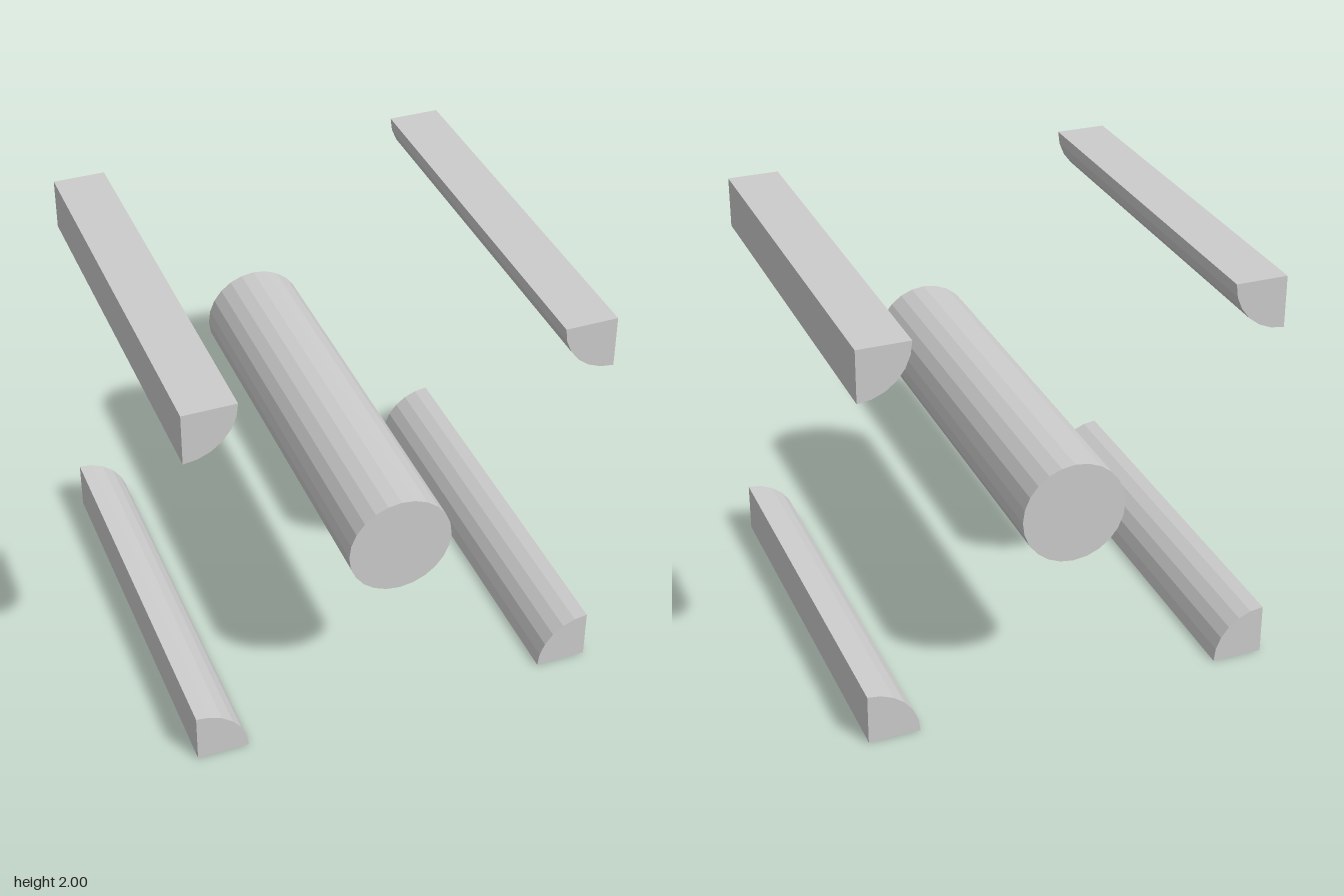
import * as THREE from 'three';

const RADIUS = 0.25, LENGTH = 2;

export function createModel() {
  const group = new THREE.Group();
  const material = new THREE.MeshStandardMaterial({ color: 0xcccccc, flatShading: true });

  // central round bar running front to back
  const bar = new THREE.Mesh(new THREE.CylinderGeometry(RADIUS, RADIUS, LENGTH, 24), material);
  bar.name = 'centreBar';
  bar.rotation.x = Math.PI / 2;
  bar.position.y = 1;
  group.add(bar);

  // quarter-round bar, its square corner on the local origin
  const sector = new THREE.Shape();
  sector.moveTo(0, 0);
  sector.lineTo(RADIUS, 0);
  sector.absarc(0, 0, RADIUS, 0, Math.PI / 2, false);
  sector.closePath();
  const quarter = new THREE.ExtrudeGeometry(sector, { depth: LENGTH, bevelEnabled: false, curveSegments: 3 });
  quarter.translate(0, 0, -LENGTH / 2);

  // one in each corner, turned so the curve faces the centre
  const corners = [
    ['lowerRightBar', -1, 0],
    ['lowerLeftBar', 1, 0],
    ['upperLeftBar', 1, 2],
    ['upperRightBar', -1, 2],
  ];
  corners.forEach(([name, x, y], i) => {
    const mesh = new THREE.Mesh(quarter, material);
    mesh.name = name;
    mesh.position.set(x, y, 0);
    mesh.rotation.z = i * Math.PI / 2;
    group.add(mesh);
  });

  return group;
}
